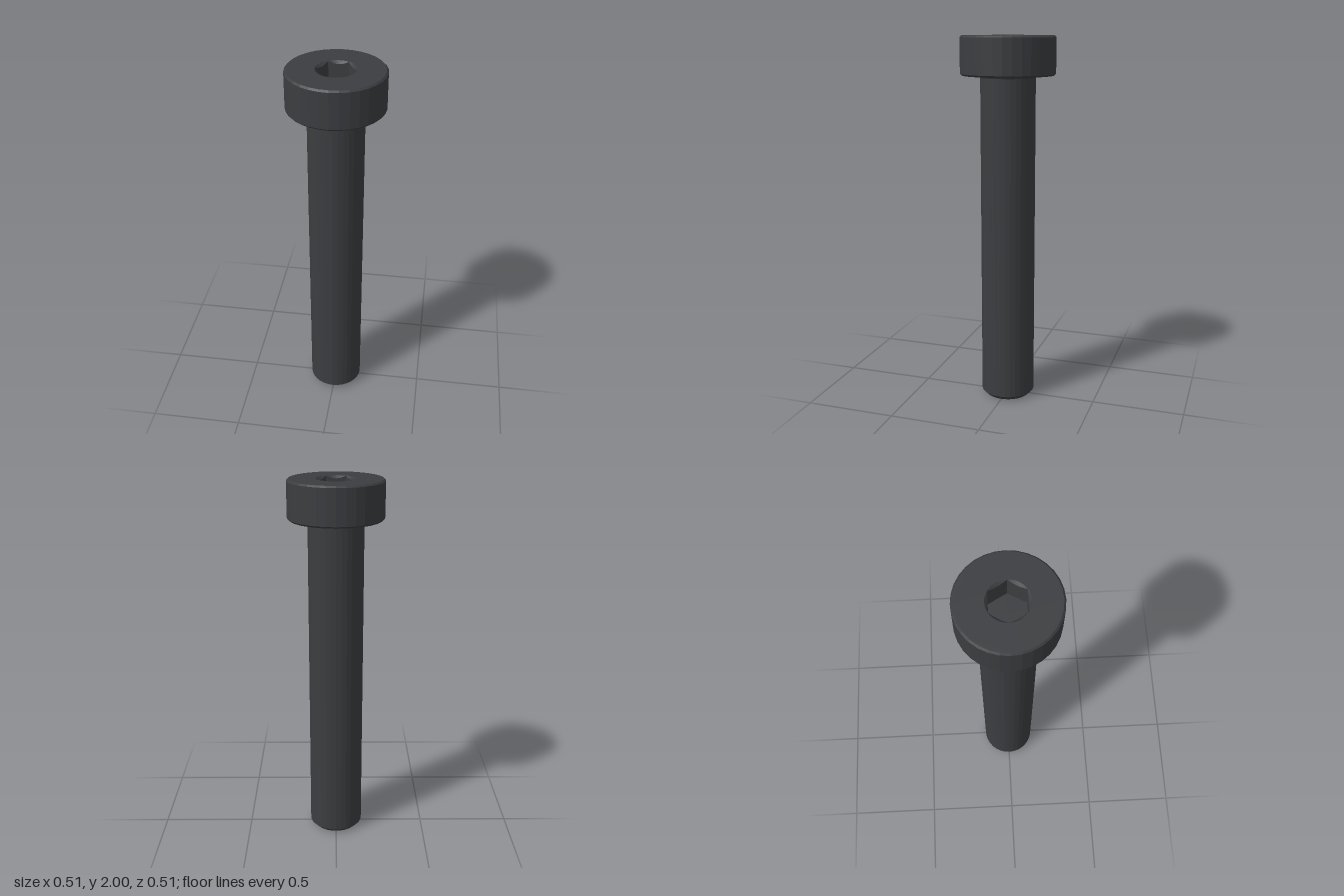
import * as THREE from 'three';

const SIDES = 32, SOCKET_SIDES = 48;
const TOP = 2, HEAD_BOTTOM = 1.795, SOCKET_FLOOR = 1.865;
const HEAD_R = 0.253, SHANK_R = 0.147, RIM_R = 0.1036, APOTHEM = 0.0895;

const steel = new THREE.MeshStandardMaterial({ color: 0x3b3d40, flatShading: true });

function part(name, geometry) {
  const mesh = new THREE.Mesh(geometry, steel);
  mesh.name = name;
  return mesh;
}

function lathe(name, profile) {
  return part(name, new THREE.LatheGeometry(profile.map(([r, y]) => new THREE.Vector2(r, y)), SIDES));
}

function circlePoints(radius, count) {
  return Array.from({ length: count }, (_, i) => {
    const a = (i / count) * Math.PI * 2;
    return new THREE.Vector2(radius * Math.cos(a), radius * Math.sin(a));
  });
}

// Flat top face with the round socket mouth cut out
function headTop() {
  const shape = new THREE.Shape(circlePoints(HEAD_R - 0.009, SIDES));
  shape.holes.push(new THREE.Path(circlePoints(RIM_R, SOCKET_SIDES)));
  const geometry = new THREE.ShapeGeometry(shape);
  geometry.rotateX(-Math.PI / 2).translate(0, TOP, 0);
  return part('headTop', geometry);
}

// Hexagonal recess with a conical lead-in: rim, hexagon edge, floor, centre
function hexSocket() {
  const rings = [[], [], [], []];
  for (let i = 0; i <= SOCKET_SIDES; i++) {
    const a = (i / SOCKET_SIDES) * Math.PI * 2;
    const fromFlat = (a % (Math.PI / 3)) - Math.PI / 6;
    const hexR = APOTHEM / Math.cos(fromFlat);
    const at = (r, y) => new THREE.Vector3(r * Math.cos(a), y, -r * Math.sin(a));
    rings[0].push(at(RIM_R, TOP));
    rings[1].push(at(hexR, TOP - (RIM_R - hexR)));
    rings[2].push(at(hexR, SOCKET_FLOOR));
    rings[3].push(at(0, SOCKET_FLOOR));
  }
  const corners = [];
  for (let k = 0; k < 3; k++) {
    for (let i = 0; i < SOCKET_SIDES; i++) {
      const a = rings[k][i], b = rings[k][i + 1];
      const c = rings[k + 1][i], d = rings[k + 1][i + 1];
      corners.push(a, b, c);
      if (k < 2) corners.push(b, d, c);
    }
  }
  const geometry = new THREE.BufferGeometry().setFromPoints(corners);
  geometry.computeVertexNormals();
  return part('hexSocket', geometry);
}

export function createModel() {
  const bolt = new THREE.Group();
  bolt.name = 'socketHeadBolt';

  // Shank with chamfered tip and a small fillet under the head
  bolt.add(lathe('shank', [
    [0, 0], [SHANK_R - 0.024, 0], [SHANK_R, 0.024],
    [SHANK_R, HEAD_BOTTOM - 0.012], [SHANK_R + 0.004, HEAD_BOTTOM - 0.004], [SHANK_R + 0.012, HEAD_BOTTOM],
  ]));

  // Underside, side wall and edge chamfers of the head
  bolt.add(lathe('head', [
    [SHANK_R + 0.012, HEAD_BOTTOM], [HEAD_R - 0.009, HEAD_BOTTOM], [HEAD_R, HEAD_BOTTOM + 0.009],
    [HEAD_R, TOP - 0.009], [HEAD_R - 0.009, TOP],
  ]));

  bolt.add(headTop(), hexSocket());
  return bolt;
}
